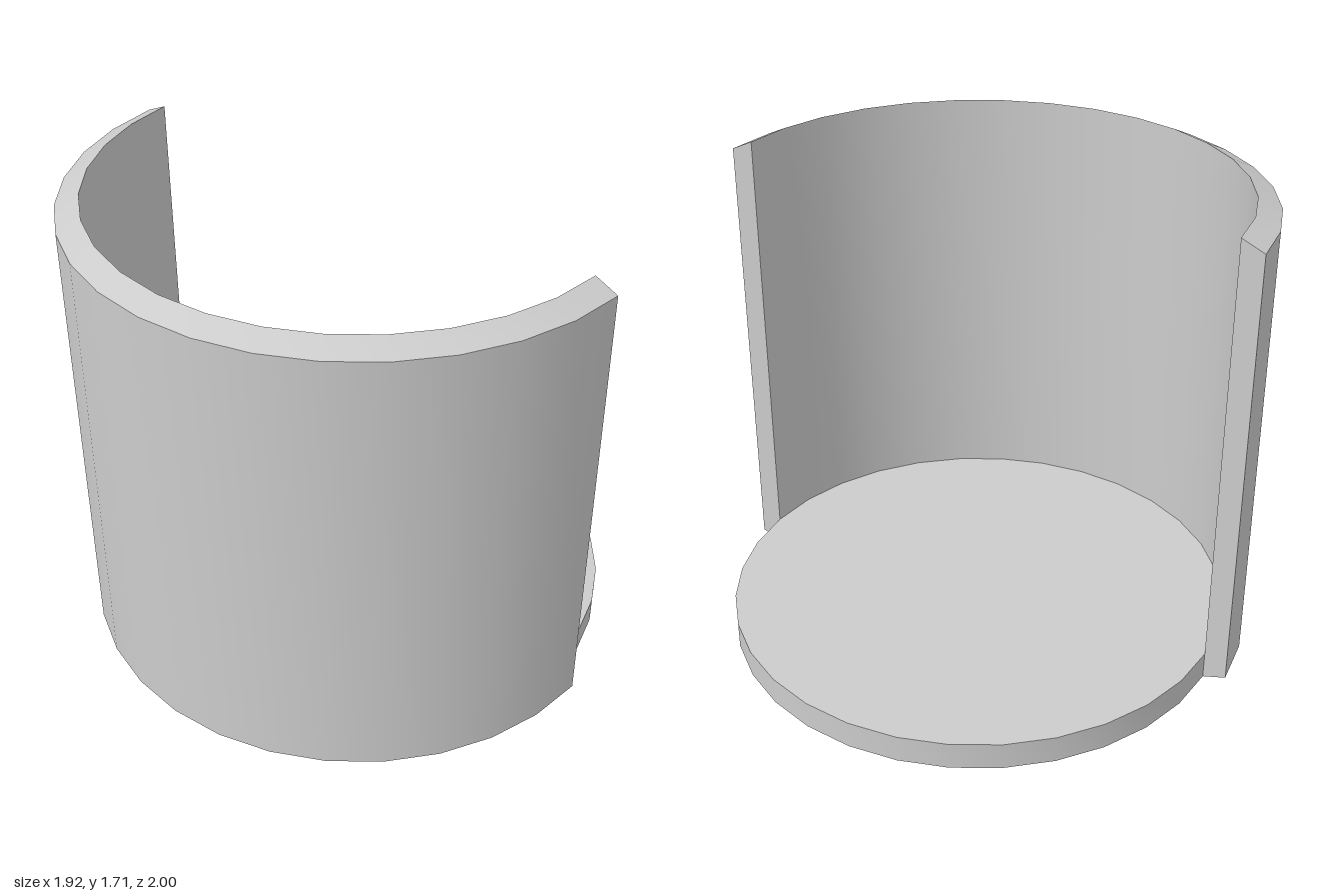
import * as THREE from 'three';
import { toCreasedNormals } from 'three/addons/utils/BufferGeometryUtils.js';

const CENTRE_X = 0.0415, R_IN = 0.917, R_OUT = 1;

export function createModel() {
  const model = new THREE.Group();
  const material = new THREE.MeshStandardMaterial({ color: 0xcccccc });
  const add = (name, geometry) => {
    const mesh = new THREE.Mesh(geometry, material);
    mesh.name = name;
    mesh.position.x = CENTRE_X;
    model.add(mesh);
    return mesh;
  };
  const lathe = (profile, segments, start, sweep) => toCreasedNormals(
    new THREE.LatheGeometry(profile.map(([r, y]) => new THREE.Vector2(r, y)), segments, start, sweep), 0.4);

  // Round floor, with a very slightly domed underside
  add('floorDisc', lathe([[0, 0], [R_IN, 0.01], [R_IN, 0.11], [0, 0.11]], 32, 0, Math.PI * 2));

  // Half-round wall with sloping top and bottom rims
  const section = [[R_IN, 0.01], [R_OUT, 0.035], [R_OUT, 1.67], [R_IN, 1.708]];
  add('curvedWall', lathe([...section, section[0]], 16, Math.PI, Math.PI));

  // Flat ends closing the wall, front and back
  for (const [name, side] of [['frontWallEnd', -1], ['backWallEnd', 1]]) {
    const shape = new THREE.Shape(section.map(([r, y]) => new THREE.Vector2(side * r, y)));
    add(name, new THREE.ShapeGeometry(shape).rotateY(Math.PI / 2));
  }
  return model;
}
